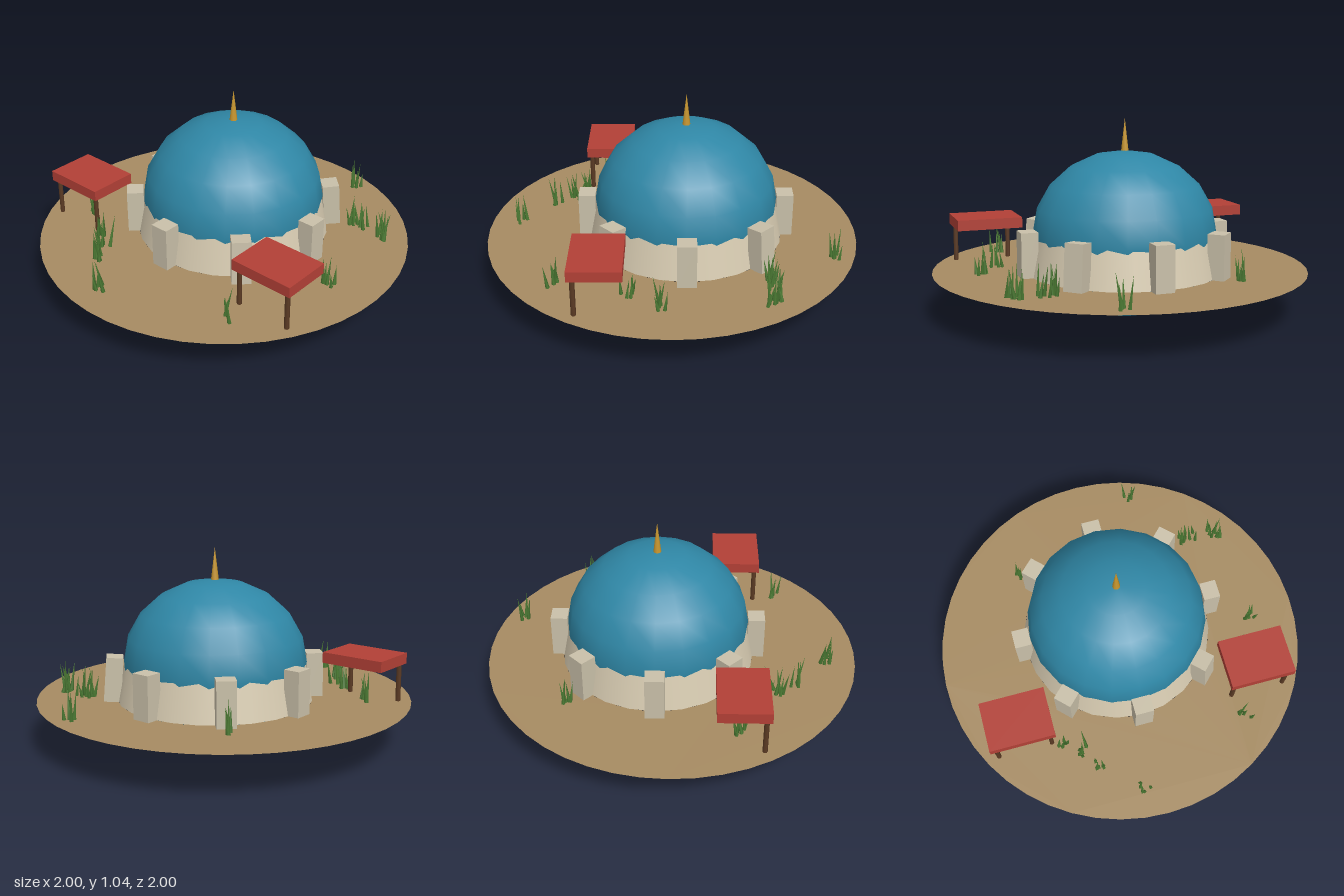
import * as THREE from 'three';

const GROUND = 0.239, CZ = -0.075;

function mat(name, color, extra = {}) {
  const m = new THREE.MeshStandardMaterial({ color, ...extra });
  m.name = name;
  return m;
}

export function createModel() {
  const group = new THREE.Group();
  const sand = mat('sand', 0xa68b62, { side: THREE.DoubleSide });
  const plaster = mat('plaster', 0xd8ccb2, { side: THREE.DoubleSide });
  const stone = mat('stone', 0xc9c0a9);
  const blue = mat('blue', 0x2f87a6);
  const gold = mat('gold', 0xc8962e);
  const red = mat('red', 0xb24036);
  const wood = mat('wood', 0x5c3b24);
  const green = mat('green', 0x4c7c34);

  const add = (name, geo, material, x, y, z, parent = group) => {
    const m = new THREE.Mesh(geo, material);
    m.name = name;
    m.position.set(x, y, z);
    parent.add(m);
    return m;
  };

  // Ground disc with a round opening under the dome
  const disc = new THREE.Shape().absarc(0, 0, 1, 0, Math.PI * 2);
  disc.holes.push(new THREE.Path().absarc(0, -CZ, 0.517, 0, Math.PI * 2, true));
  const ground = new THREE.ShapeGeometry(disc, 24).rotateX(-Math.PI / 2);
  add('ground', ground, sand, 0, GROUND, 0);

  // Flattened sphere dome, sloping wall and finial
  const dome = new THREE.SphereGeometry(0.487, 20, 10).scale(1, 0.9, 1);
  add('dome', dome, blue, 0, 0.4385, CZ);
  add('wall', new THREE.CylinderGeometry(0.474, 0.52, 0.235, 24, 1, true), plaster, 0, GROUND + 0.1175, CZ);
  add('finial', new THREE.ConeGeometry(0.022, 0.18, 8), gold, 0, 0.953, CZ);

  // Eight buttresses around the wall; two of them lean in a little
  const block = new THREE.BoxGeometry(0.1, 0.237, 0.09);
  for (let i = 0; i < 8; i++) {
    const a = i * Math.PI / 4;
    const lean = i === 1 || i === 3 ? -0.08 : 0;
    const r = lean ? 0.538 : 0.53;
    const b = add('buttress', block, stone, Math.sin(a) * r, GROUND + 0.118, CZ + Math.cos(a) * r);
    b.rotation.set(lean, a, 0, 'YXZ');
  }

  // Two stall canopies, each on a pair of front posts
  for (const s of [-1, 1]) {
    const stall = new THREE.Group();
    stall.name = s > 0 ? 'leftStall' : 'rightStall';
    group.add(stall);
    add('canopy', new THREE.BoxGeometry(0.35, 0.057, 0.265), red, s * 0.656, 0.47, 0.362, stall);
    for (const x of [0.51, 0.803])
      add('post', new THREE.CylinderGeometry(0.013, 0.013, 0.205, 6), wood, s * x, GROUND + 0.1025, 0.468, stall);
  }

  // Grass tufts of thin leaning blades
  let seed = 7;
  const rand = () => (seed = (seed * 16807) % 2147483647) / 2147483647;
  const blade = (h) => new THREE.ConeGeometry(0.011, h, 4).translate(0, h / 2, 0);
  const tufts = [
    [0.28, -0.86], [-0.44, -0.54], [0.51, -0.5], [0.56, -0.51], [0.66, -0.51], [0.71, -0.49],
    [0.75, 0.045], [0.63, 0.22], [0.55, 0.59], [-0.46, 0.48],
    [-0.35, 0.56], [-0.28, 0.66], [-0.08, 0.83], [-0.67, 0.36],
  ];
  for (const [x, z] of tufts) {
    const tuft = new THREE.Group();
    tuft.name = 'grassTuft';
    tuft.position.set(x, GROUND, z);
    group.add(tuft);
    for (let i = 0; i < 5; i++) {
      const b = add('grassBlade', blade(0.09 + rand() * 0.09), green,
        (rand() - 0.5) * 0.07, 0, (rand() - 0.5) * 0.06, tuft);
      b.rotation.set((rand() - 0.5) * 0.4, rand() * 3, (rand() - 0.5) * 0.4);
    }
  }
  return group;
}
